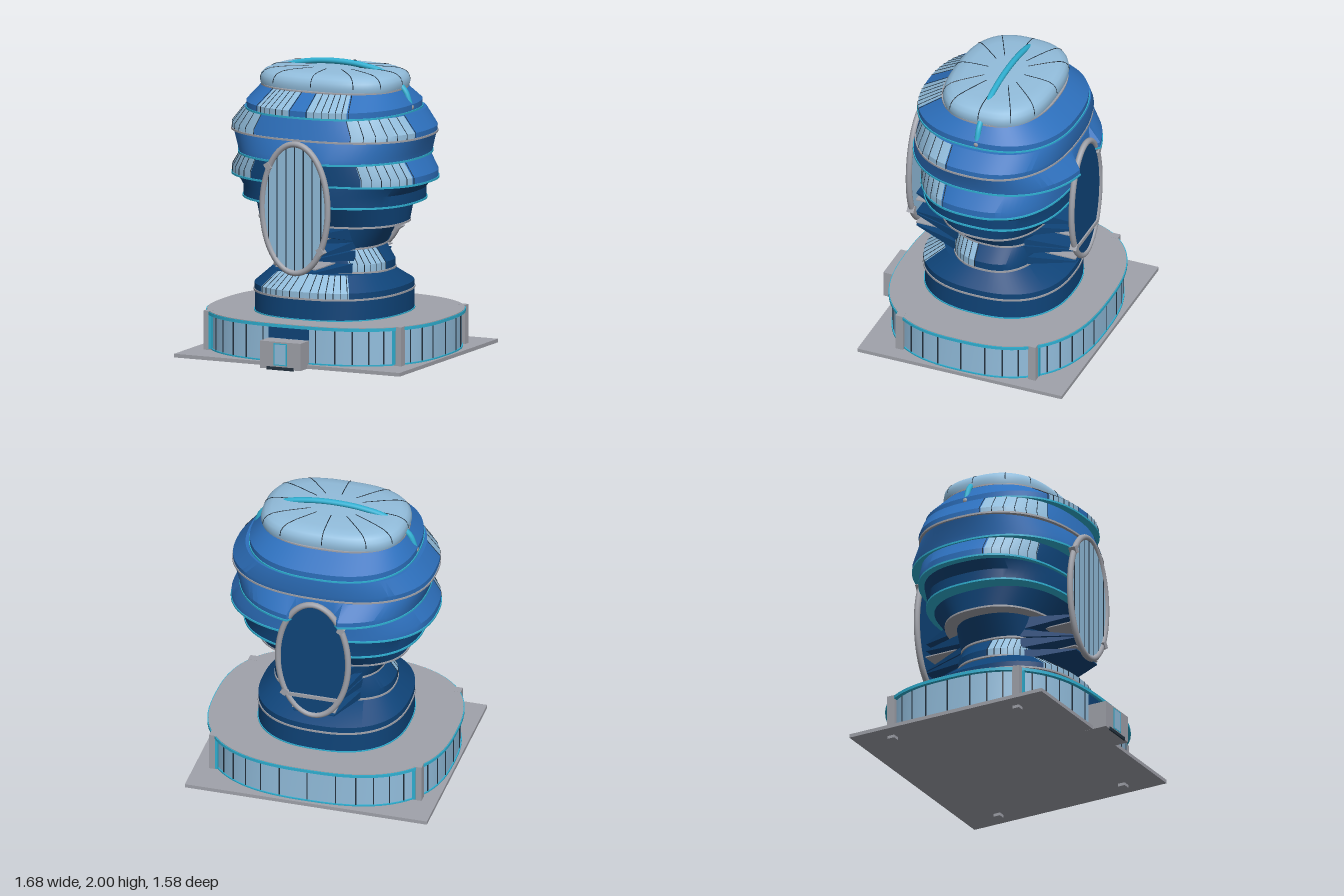
import * as THREE from 'three';
import { toCreasedNormals } from 'three/addons/utils/BufferGeometryUtils.js';

const mat = (name, color) => Object.assign(new THREE.MeshStandardMaterial({ color }), { name });

export function createModel() {
  const root = new THREE.Group();
  root.name = 'tower';
  const blue = mat('mid blue', 0x2d70bd);
  const navy = mat('dark blue', 0x0f4479);
  const glass = mat('pale glass', 0x92bddc);
  const cyan = mat('cyan trim', 0x2fb0d2);
  const grey = mat('grey', 0xa0a2aa);
  const dark = mat('dark lines', 0x24323f);

  const SEG = 80, ZC = -0.04;
  const add = (name, geo, material, x = 0, y = 0, z = 0, parent = root) => {
    const m = new THREE.Mesh(geo, material);
    m.name = name;
    m.position.set(x, y, z);
    parent.add(m);
    return m;
  };
  const box = (name, w, h, d, material, x, y, z, parent) =>
    add(name, new THREE.BoxGeometry(w, h, d), material, x, y, z, parent);

  // Point on a rounded-square plan; t = 0 is the front, going towards +x
  const plan = (t, y, a, zf, zb, n = 2.4, zc = ZC) => {
    const pw = (v) => Math.sign(v) * Math.pow(Math.abs(v), 2 / n);
    const c = pw(Math.cos(t));
    return new THREE.Vector3(a * pw(Math.sin(t)), y, zc + c * (c > 0 ? zf - zc : zc - zb));
  };
  const outline = (y, a, zf, zb, n, zc) =>
    Array.from({ length: SEG }, (_, i) => plan((i / SEG) * Math.PI * 2, y, a, zf, zb, n, zc));
  // Leave flat recesses for the two oval portals
  const recess = (ring) => ring.map((p) => {
    if (p.y < 1.53 && Math.abs(p.x) < 0.25) p.z = Math.min(p.z, 0.545);
    if (p.y < 1.53 && Math.abs(p.x) < 0.16) p.z = Math.max(p.z, -0.59);
    return p;
  });

  // Closed loft through horizontal outlines; pick(t) chooses the material slot
  function loft(rings, pick = () => 0, slots = 1, crease = 0.5) {
    const pos = [], idx = Array.from({ length: slots }, () => []);
    const n = rings[0].length;
    rings.forEach((r) => r.forEach((p) => pos.push(p.x, p.y, p.z)));
    const centre = (r) => {
      const c = r.reduce((s, p) => s.add(p), new THREE.Vector3()).divideScalar(n);
      pos.push(c.x, c.y, c.z);
      return pos.length / 3 - 1;
    };
    const last = (rings.length - 1) * n;
    const c0 = centre(rings[0]), c1 = centre(rings[rings.length - 1]);
    for (let i = 0; i < n; i++) {
      const j = (i + 1) % n;
      let t = ((i + 0.5) / n) * Math.PI * 2;
      if (t > Math.PI) t = Math.PI * 2 - t;
      for (let k = 0; k < rings.length - 1; k++) {
        const b = k * n, u = b + n;
        idx[pick(t)].push(b + i, b + j, u + j, b + i, u + j, u + i);
      }
      idx[0].push(c0, j, i, c1, last + i, last + j);
    }
    const g = new THREE.BufferGeometry();
    g.setAttribute('position', new THREE.Float32BufferAttribute(pos, 3));
    g.setIndex(idx.flat());
    let start = 0;
    idx.forEach((a, k) => { g.addGroup(start, a.length, k); start += a.length; });
    return toCreasedNormals(g, crease);
  }

  // Ground plate, feet and corner columns
  box('groundPlate', 1.68, 0.025, 1.48, grey, 0, 0.033, -0.05);
  for (const x of [-0.71, 0.71]) for (const z of [-0.53, 0.43]) {
    box('foot', 0.05, 0.03, 0.05, grey, x, 0.015, z);
    box('column', 0.055, 0.28, 0.055, grey, x, 0.17, z);
    box('columnStrip', 0.02, 0.23, 0.05, cyan, x * 0.965, 0.17, z + (z > 0 ? 0.012 : -0.012));
  }

  // Glazed podium drum with mullions, cyan rims and a grey roof
  const podium = (y, g = 0) => outline(y, 0.815 + g, 0.66 + g, -0.76 - g, 2.6, -0.05);
  add('podiumGlass', loft([podium(0.045), podium(0.29)]), glass);
  add('podiumLowerRim', loft([podium(0.045, 0.008), podium(0.055, 0.008)]), cyan);
  add('podiumUpperRim', loft([podium(0.284, 0.026), podium(0.305, 0.026)]), cyan);
  add('podiumRoof', loft([podium(0.305, 0.02), podium(0.309, 0.02)]), grey);
  const wall = podium(0.17);
  for (let i = 0; i < SEG; i += 2) {
    const p = wall[i], q = wall[(i + 1) % SEG], o = wall[(i + SEG - 1) % SEG];
    box('podiumMullion', 0.009, 0.23, 0.006, dark, p.x, p.y, p.z).rotation.y =
      Math.atan2(-(q.z - o.z), q.x - o.x);
  }

  // Entrance block with a framed door
  box('entrance', 0.3, 0.185, 0.17, grey, 0, 0.1125, 0.705);
  box('doorFrame', 0.1, 0.15, 0.006, cyan, 0, 0.12, 0.79);
  box('door', 0.084, 0.136, 0.008, glass, 0, 0.12, 0.79);
  box('doorStep', 0.2, 0.022, 0.01, dark, 0, 0.025, 0.789);
  box('entrancePanel', 0.3, 0.075, 0.01, navy, 0, 0.245, 0.661);

  // Stacked tiers: outline rows [y, halfWidth, front, back], glazed range of t, trim below
  const tiers = [
    { c: navy, trim: cyan, r: [[0.31, 0.51, 0.49, -0.53], [0.45, 0.51, 0.49, -0.53]] },
    { c: navy, trim: grey, g: [0, 0.6], r: [[0.455, 0.51, 0.5, -0.53], [0.5, 0.51, 0.5, -0.53], [0.6, 0.4, 0.36, -0.33]] },
    { c: navy, trim: grey, g: [0.58, 1.43], r: [[0.605, 0.41, 0.275, -0.33], [0.66, 0.41, 0.275, -0.33], [0.755, 0.34, 0.27, -0.33]] },
    { c: navy, trim: grey, r: [[0.765, 0.34, 0.29, -0.33], [0.91, 0.43, 0.3, -0.33]] },
    { c: navy, trim: grey, r: [[0.925, 0.51, 0.35, -0.4], [1.06, 0.52, 0.42, -0.5]] },
    { c: navy, trim: cyan, r: [[1.075, 0.61, 0.47, -0.53], [1.15, 0.61, 0.47, -0.53], [1.21, 0.66, 0.46, -0.53]] },
    { c: blue, trim: cyan, g: [0.56, 1.28], navyTo: 0.56, r: [[1.22, 0.7, 0.47, -0.56], [1.27, 0.7, 0.47, -0.56], [1.37, 0.635, 0.47, -0.57]] },
    { c: blue, trim: cyan, n: 2.25, r: [[1.38, 0.635, 0.56, -0.66], [1.42, 0.645, 0.555, -0.66], [1.52, 0.69, 0.51, -0.57]] },
    { c: blue, trim: grey, g: [0.475, 1.35], r: [[1.53, 0.69, 0.52, -0.56], [1.57, 0.69, 0.51, -0.57], [1.68, 0.6, 0.48, -0.57]] },
    { c: blue, trim: cyan, g: [0.07, 0.57], r: [[1.685, 0.57, 0.53, -0.56], [1.73, 0.57, 0.53, -0.56], [1.83, 0.49, 0.355, -0.41]] },
  ];
  tiers.forEach(({ c, trim, g = [9, 9], navyTo = 0, n, r }) => {
    const rings = r.map((q) => recess(outline(...q, n)));
    const pick = (t) => (t > g[0] && t < g[1] ? 1 : t < navyTo ? 2 : 0);
    add('tier', loft(rings, pick, 3), [c, glass, navy]);
    const [y, a, zf, zb] = r[0];
    const edge = (yy) => recess(outline(yy, a + 0.006, zf + 0.006, zb - 0.006, n));
    add('tierTrim', loft([edge(y - 0.007), edge(y + 0.006)]), trim);
    // Thin bars between the glazed bays
    if (g[0] < 9) for (const s of [-1, 1]) for (let i = 0; i <= 6; i++) {
      const t = s * (g[0] + ((g[1] - g[0]) * i) / 6);
      const path = r.map((q) => plan(t, ...q, n));
      for (let k = 0; k < path.length - 1; k++)
        add('bayBar', new THREE.TubeGeometry(new THREE.LineCurve3(path[k], path[k + 1]), 1, 0.003, 4), dark);
    }
  });

  // Domed roof with radial seams
  const dome = [[1.83, 0.985], [1.86, 1], [1.895, 0.985], [1.92, 0.94], [1.937, 0.86], [1.946, 0.7], [1.951, 0.35], [1.953, 0.02]];
  const domePoint = (t, [y, s]) => plan(t, y, 0.5 * s, ZC + 0.375 * s, ZC - 0.365 * s, 2.7);
  add('roofDome', loft(dome.map(([y, s]) => outline(y, 0.5 * s, ZC + 0.375 * s, ZC - 0.365 * s, 2.7)), undefined, 1, 1.2), glass);
  for (let i = 0; i < 12; i++) {
    const pts = dome.slice(1, 7).map((d) => domePoint((i * Math.PI) / 6, d));
    add('roofSeam', new THREE.TubeGeometry(new THREE.CatmullRomCurve3(pts), 16, 0.003, 4), dark);
  }
  add('roofTrim', loft([1.824, 1.836].map((y) => outline(y, 0.497, 0.36, -0.415))), grey);

  // Arched tube over the roof with ball ends
  const arch = [[-0.55, 1.72], [-0.51, 1.82], [-0.36, 1.925], [-0.19, 1.967], [0, 1.98],
    [0.19, 1.967], [0.36, 1.925], [0.51, 1.82], [0.55, 1.72]].map(([x, y]) => new THREE.Vector3(x, y, -0.055));
  add('roofArch', new THREE.TubeGeometry(new THREE.CatmullRomCurve3(arch), 48, 0.02, 10), cyan);
  for (const x of [-0.55, 0.55]) add('archBall', new THREE.SphereGeometry(0.026, 12, 8), grey, x, 1.71, -0.055);

  // Oval portals, front and back
  const RX = 0.243, RY = 0.437, PY = 1.075;
  function portal(name, z, fill) {
    const p = new THREE.Group();
    p.name = name;
    p.position.set(0, PY, z);
    root.add(p);
    const pts = Array.from({ length: 32 }, (_, i) =>
      new THREE.Vector3(RX * Math.cos((i * Math.PI) / 16), RY * Math.sin((i * Math.PI) / 16), 0));
    add('portalRing', new THREE.TubeGeometry(new THREE.CatmullRomCurve3(pts, true), 80, 0.021, 10, true), grey, 0, 0, 0, p);
    const disc = new THREE.CylinderGeometry(1, 1, 0.012, 56).rotateX(Math.PI / 2).scale(RX, RY, 1);
    add('portalDisc', disc, fill, 0, 0, 0, p);
    for (const s of [-1, 1]) box('ringCoupling', 0.04, 0.05, 0.05, grey, s * 0.195, s * -0.275, 0, p).rotation.z = 0.6;
    return p;
  }
  const front = portal('frontPortal', 0.567, glass);
  for (let i = -3; i <= 3; i++) {
    const x = i * 0.065;
    box('portalMullion', 0.007, 2 * RY * Math.sqrt(1 - (x / RX) ** 2), 0.006, dark, x, 0, 0.005, front);
  }
  const back = portal('backPortal', -0.612, navy);
  box('portalBeam', 0.36, 0.025, 0.02, grey, 0, -0.29, -0.008, back);

  // Tapered floor blades reaching from the core to the portals: [tipY, lowY, highY]
  const blades = [[0.9, 0.82, 0.908], [0.75, 0.765, 0.82], [0.735, 0.685, 0.755], [0.645, 0.6, 0.67]];
  const blade = (tip, low, high, s, end) => {
    const w0 = 0.27, w1 = 0.5 * RX + 0.02, z0 = 0.2 * s;
    const row = (core, y) => {
      const q = [[-w0, core, z0], [-w1, y, end], [w1, y, end], [w0, core, z0]].map((v) => new THREE.Vector3(...v));
      return s > 0 ? q : q.reverse();
    };
    add('floorBlade', loft([row(low, tip - 0.004), row(high, tip + 0.004)], undefined, 1, 0.1), navy);
  };
  for (const [s, end] of [[1, 0.555], [-1, -0.6]]) {
    blades.forEach((b) => blade(...b, s, end));
    for (const y of [0.85, 0.67]) box('floorSlab', 0.3, 0.008, Math.abs(end) - 0.2, grey, 0, y, (end + 0.2 * s) / 2);
  }
  blade(0.95, 0.93, 1.06, -1, -0.6);

  return root;
}
